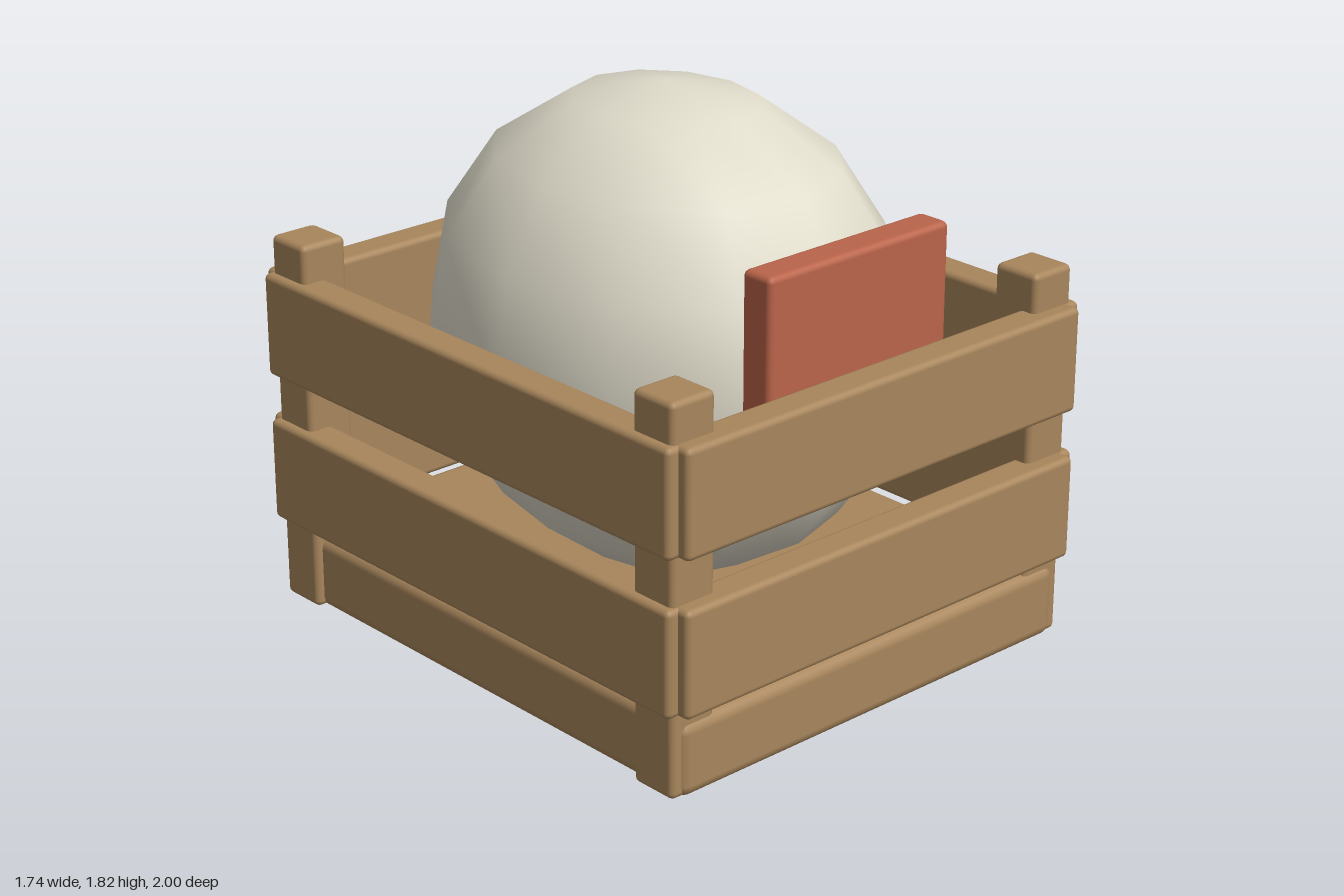
import * as THREE from 'three';
import { RoundedBoxGeometry } from 'three/addons/geometries/RoundedBoxGeometry.js';

export function createModel() {
  const crate = new THREE.Group();
  crate.name = 'crate';
  const material = (name, color) => {
    const m = new THREE.MeshStandardMaterial({ color });
    m.name = name;
    return m;
  };
  const wood = material('wood', 0xa8865c);
  const red = material('red', 0xba644a);
  const cream = material('cream', 0xe0dccb);

  // Bevelled board given by its size and centre
  const board = (name, mat, size, pos, bevel = 0.02) => {
    const mesh = new THREE.Mesh(new RoundedBoxGeometry(...size, 2, bevel), mat);
    mesh.name = name;
    mesh.position.set(...pos);
    crate.add(mesh);
  };

  board('floor', wood, [1.63, 0.25, 1.92], [0, 0.125, 0], 0.04);

  // Corner posts
  for (const x of [-1, 1]) {
    for (const z of [-1, 1]) {
      const name = (z > 0 ? 'front' : 'back') + (x > 0 ? 'Left' : 'Right') + 'Post';
      board(name, wood, [0.17, 1.26, 0.17], [x * 0.757, 0.637, z * 0.862]);
    }
  }

  // Two rows of slats on all four sides
  [['lower', 0.46], ['upper', 0.965]].forEach(([row, y]) => {
    for (const s of [-1, 1]) {
      board(row + (s > 0 ? 'Front' : 'Back') + 'Slat', wood, [1.66, 0.35, 0.12], [0, y, s * 0.94]);
      board(row + (s > 0 ? 'Left' : 'Right') + 'Slat', wood, [0.12, 0.35, 1.92], [s * 0.81, y, 0]);
    }
  });

  // Rounded load resting in the crate
  const load = new THREE.Mesh(new THREE.SphereGeometry(1, 12, 8), cream);
  load.name = 'load';
  load.scale.set(0.71, 0.8, 0.86);
  load.position.y = 1.023;
  crate.add(load);

  // Plain panel at the front
  board('panel', red, [0.75, 0.755, 0.12], [0, 1.117, 0.793]);

  return crate;
}
